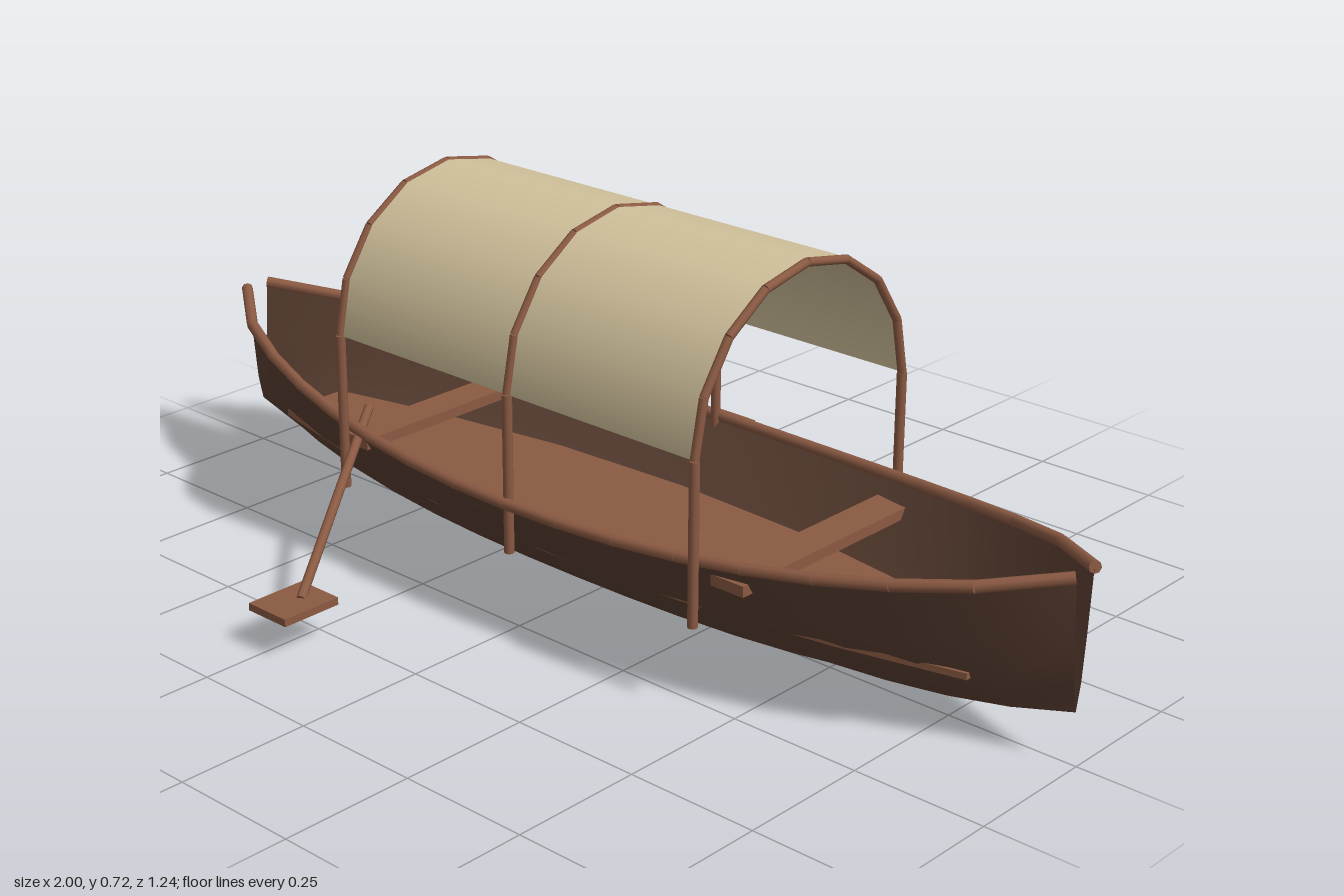
import * as THREE from 'three';

const hullMat = new THREE.MeshStandardMaterial({ name: 'dark hull wood', color: 0x5c4033, side: THREE.DoubleSide });
const woodMat = new THREE.MeshStandardMaterial({ name: 'warm wood', color: 0x8b5a43 });
const clothMat = new THREE.MeshStandardMaterial({ name: 'canvas', color: 0xd2c29c, side: THREE.DoubleSide });

// Hull lines as functions of x
const beam = (x) => 0.006 + 0.272 * Math.pow(Math.max(0, 1 - x * x), 0.65);
const keel = (x) => 0.005 + 0.097 * Math.pow(Math.abs(x), 3.5);
const sheer = (x) => 0.25 + 0.095 * Math.pow(Math.abs(x), 2.2);
const SECTION = [[0, 0], [0.4, 0.2], [0.71, 0.56], [1, 1]];
const STATIONS = 16;
const stationX = (i) => (-1 + (2 * i) / STATIONS) * 0.992;

function add(parent, name, geometry, material) {
  const mesh = new THREE.Mesh(geometry, material);
  mesh.name = name;
  parent.add(mesh);
  return mesh;
}

// Straight round rod between two points
function rod(parent, name, a, b, radius, sides = 8) {
  const mesh = add(parent, name, new THREE.CylinderGeometry(radius, radius, a.distanceTo(b), sides), woodMat);
  mesh.position.copy(a).add(b).multiplyScalar(0.5);
  mesh.quaternion.setFromUnitVectors(new THREE.Vector3(0, 1, 0), b.clone().sub(a).normalize());
  return mesh;
}

function rodChain(parent, name, points, radius) {
  for (let i = 0; i < points.length - 1; i++) rod(parent, name, points[i], points[i + 1], radius);
}

// One side of the hull, lofted through the stations
function hullSide(side) {
  const pos = [], idx = [], n = SECTION.length;
  for (let i = 0; i <= STATIONS; i++) {
    const x = stationX(i), k = keel(x);
    for (const [w, h] of SECTION) pos.push(x, k + h * (sheer(x) - k), side * w * beam(x));
  }
  for (let i = 0; i < STATIONS; i++) {
    for (let j = 0; j < n - 1; j++) {
      const a = i * n + j, b = a + n, c = b + 1, d = a + 1;
      if (side > 0) idx.push(a, b, c, a, c, d);
      else idx.push(a, c, b, a, d, c);
    }
  }
  const g = new THREE.BufferGeometry();
  g.setAttribute('position', new THREE.Float32BufferAttribute(pos, 3));
  g.setIndex(idx);
  g.computeVertexNormals();
  return g;
}

export function createModel() {
  const boat = new THREE.Group();
  boat.name = 'coveredRowboat';

  // Hull and gunwales
  for (const s of [1, -1]) {
    add(boat, 'hullSide', hullSide(s), hullMat);
    const rail = [];
    for (let i = 0; i <= STATIONS; i++) {
      const x = stationX(i);
      rail.push(new THREE.Vector3(x, sheer(x), s * (beam(x) + 0.002)));
    }
    rodChain(boat, 'gunwale', rail, 0.011);
  }

  // Floorboard
  const half = [[-0.83, 0.07], [-0.6, 0.122], [-0.3, 0.168], [0, 0.182], [0.3, 0.168], [0.6, 0.122], [0.83, 0.07]];
  const outline = [...half, ...half.map(([x, z]) => [x, -z]).reverse()].map((p) => new THREE.Vector2(...p));
  const floorGeo = new THREE.ExtrudeGeometry(new THREE.Shape(outline), { depth: 0.012, bevelEnabled: false });
  floorGeo.rotateX(-Math.PI / 2);
  add(boat, 'floorboard', floorGeo, woodMat).position.y = 0.125;

  // Bench seats
  for (const x of [-0.455, 0.455]) {
    add(boat, 'seat', new THREE.BoxGeometry(0.07, 0.02, 0.445), woodMat).position.set(x, 0.222, 0);
  }

  // Canopy hoops with their posts
  const R = 0.272, Y = 0.45, SEG = 8;
  for (const x of [-0.425, 0, 0.425]) {
    const hoop = new THREE.Group();
    hoop.name = 'canopyHoop';
    boat.add(hoop);
    const pts = [];
    for (let i = 0; i <= SEG; i++) {
      const a = (i / SEG) * Math.PI;
      pts.push(new THREE.Vector3(x, Y + 0.268 * Math.sin(a), R * Math.cos(a)));
    }
    rodChain(hoop, 'hoopBar', pts, 0.008);
    for (const s of [1, -1]) {
      rod(hoop, 'post', new THREE.Vector3(x, 0.155, s * R), new THREE.Vector3(x, Y, s * R), 0.009);
    }
  }

  // Canvas cover: half cylinder lying along x
  const cover = new THREE.CylinderGeometry(R, R, 0.85, SEG, 1, true, 0, Math.PI);
  cover.rotateZ(Math.PI / 2);
  add(boat, 'canvasCover', cover, clothMat).position.y = Y;

  // Oars
  for (const s of [1, -1]) {
    const oar = new THREE.Group();
    oar.name = 'oar';
    boat.add(oar);
    rod(oar, 'oarShaft', new THREE.Vector3(-0.46, 0.275, s * 0.18), new THREE.Vector3(-0.24, 0.082, s * 0.545), 0.009);
    add(oar, 'oarBlade', new THREE.BoxGeometry(0.096, 0.014, 0.12), woodMat).position.set(-0.242, 0.078, s * 0.56);
  }
  return boat;
}
